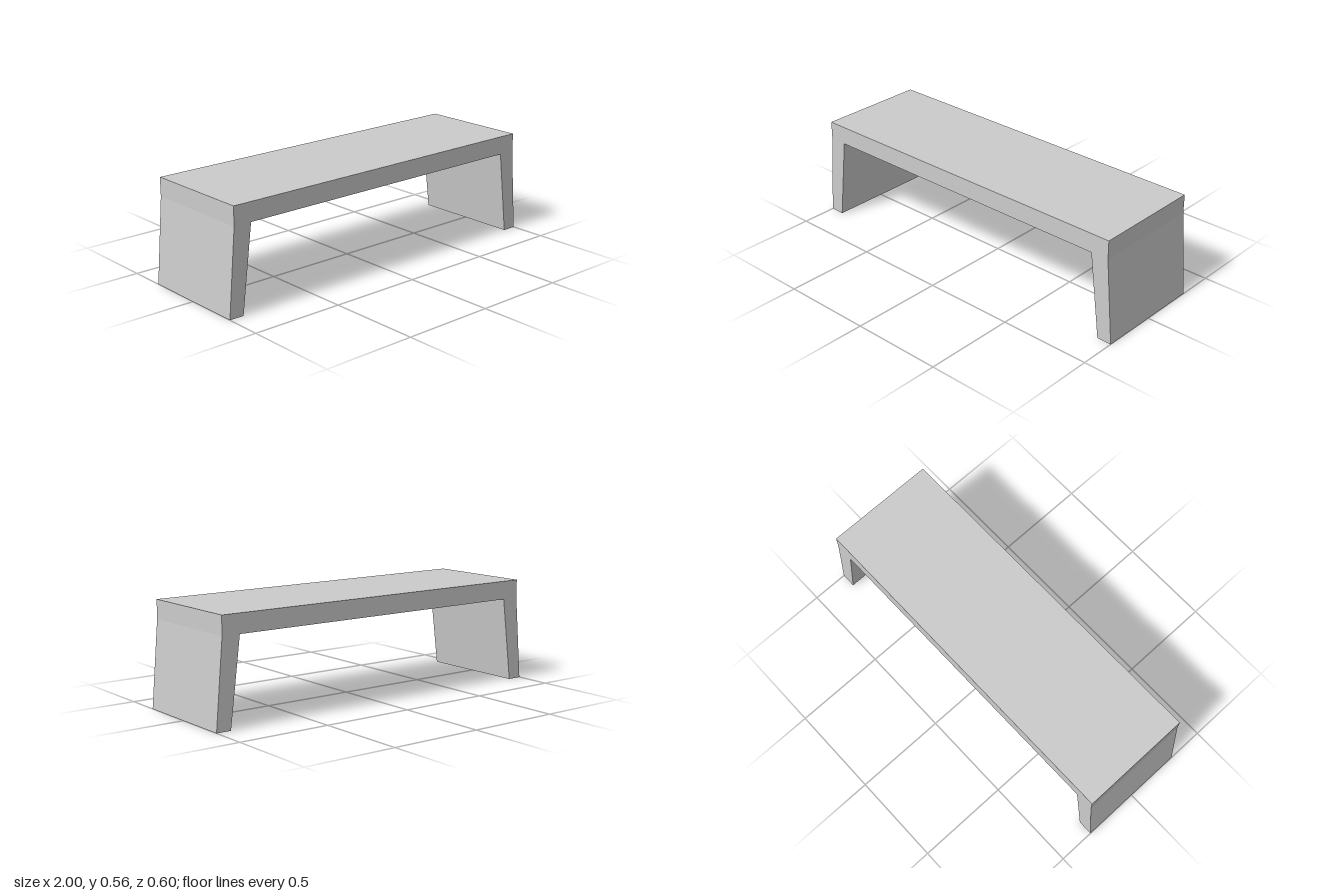
import * as THREE from 'three';

const DEPTH = 0.604;

export function createModel() {
  const group = new THREE.Group();
  group.name = 'bench';

  // Right half of the front profile: outer edge from top to foot, then inner edge
  const half = [[0.96, 0.556], [0.96, 0.456], [1, 0], [0.92, 0], [0.862, 0.456]];
  const mirrored = half.map(([x, y]) => [-x, y]).reverse();
  const profile = new THREE.Shape([...half, ...mirrored].map(([x, y]) => new THREE.Vector2(x, y)));

  // Seat slab and splayed, tapering legs as one continuous body
  const geometry = new THREE.ExtrudeGeometry(profile, { depth: DEPTH, bevelEnabled: false });
  geometry.translate(0, 0, -DEPTH / 2);

  const body = new THREE.Mesh(
    geometry,
    new THREE.MeshStandardMaterial({ color: 0xcccccc, flatShading: true })
  );
  body.name = 'seatAndLegs';
  group.add(body);
  return group;
}
